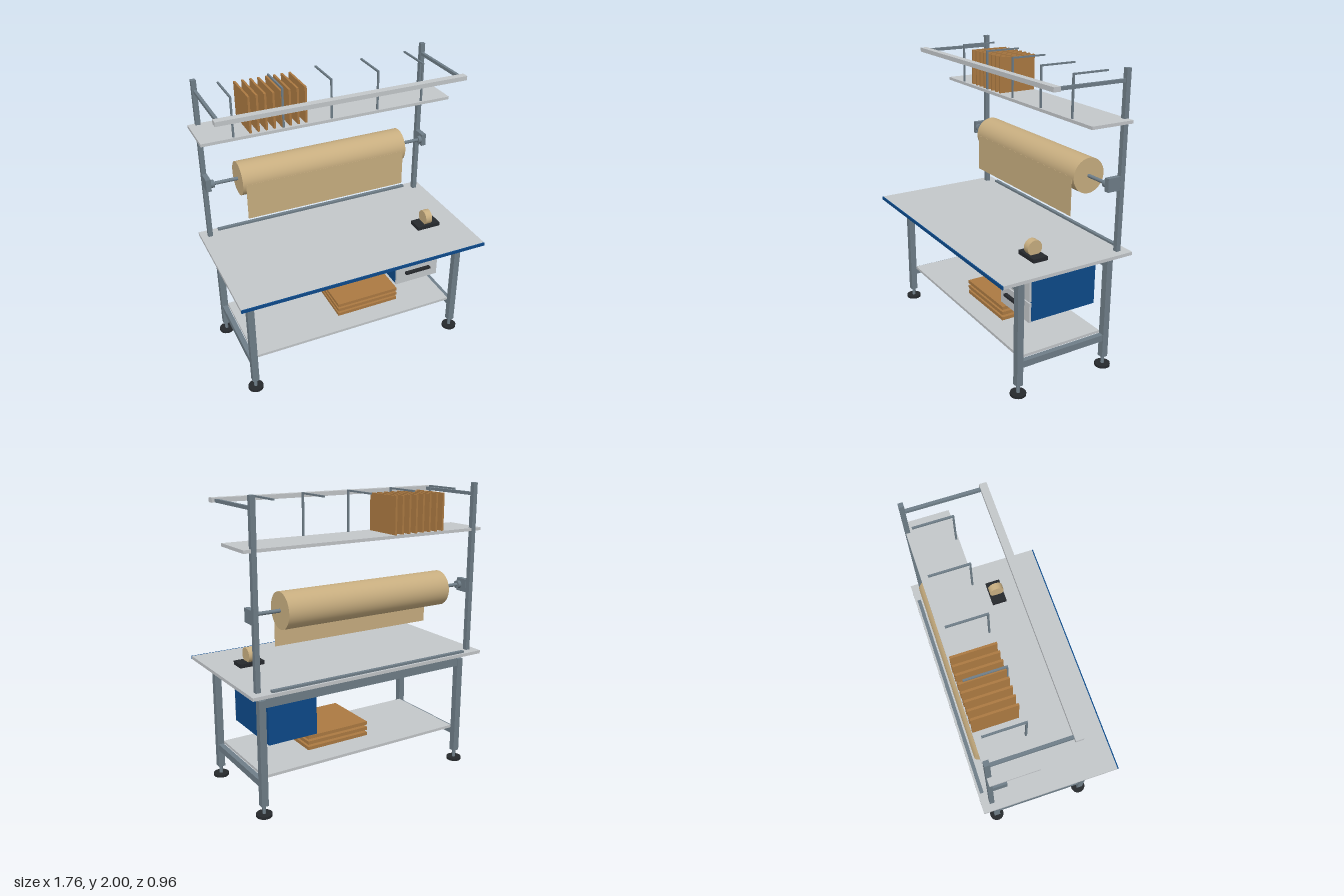
import * as THREE from 'three';

const mat = (name, color, side = THREE.FrontSide) => {
  const m = new THREE.MeshStandardMaterial({ color, side });
  m.name = name;
  return m;
};

export function createModel() {
  const steel = mat('steel grey', 0x6f7e88);
  const laminate = mat('light grey', 0xc3c7ca);
  const blue = mat('blue', 0x0d4a8a);
  const cardboard = mat('cardboard', 0xac7a42);
  const paper = mat('kraft paper', 0xc8ae80);
  const sheet = mat('kraft sheet', 0xc8ae80, THREE.DoubleSide);
  const black = mat('black', 0x26292d);

  const model = new THREE.Group();
  model.name = 'packingBench';

  const add = (name, geometry, material) => {
    const mesh = new THREE.Mesh(geometry, material);
    mesh.name = name;
    model.add(mesh);
    return mesh;
  };
  // Box given by its extents on each axis
  const box = (name, material, [x0, x1], [y0, y1], [z0, z1]) => {
    const mesh = add(name, new THREE.BoxGeometry(x1 - x0, y1 - y0, z1 - z0), material);
    mesh.position.set((x0 + x1) / 2, (y0 + y1) / 2, (z0 + z1) / 2);
    return mesh;
  };
  // Upright cylinder, or one lying along x
  const cyl = (name, material, r, length, [x, y, z], alongX = false, sides = 32) => {
    const mesh = add(name, new THREE.CylinderGeometry(r, r, length, sides), material);
    mesh.position.set(x, y, z);
    if (alongX) mesh.rotation.z = Math.PI / 2;
    return mesh;
  };
  const around = (c, half) => [c - half, c + half];

  // Worktop with blue front edge and rear rail
  box('worktop', laminate, [-0.88, 0.88], [0.822, 0.844], [-0.478, 0.47]);
  box('frontEdge', blue, [-0.88, 0.88], [0.822, 0.844], [0.47, 0.478]);
  box('rearRail', steel, [-0.745, 0.745], [0.844, 0.858], [-0.463, -0.438]);

  // Legs, levelling feet and long beams
  for (const z of [0.297, -0.371]) {
    for (const x of [-0.777, 0.777]) {
      box('leg', steel, around(x, 0.023), [0.072, 0.776], around(z, 0.022));
      cyl('footStem', steel, 0.012, 0.056, [x, 0.046, z], false, 16);
      cyl('footPad', black, 0.052, 0.018, [x, 0.009, z], false, 24);
    }
    box('beam', steel, [-0.755, 0.755], [0.725, 0.81], around(z, 0.016));
  }

  // Lower shelf on side rails
  for (const x of [-0.777, 0.777]) box('sideRail', steel, around(x, 0.018), [0.196, 0.241], [-0.349, 0.275]);
  box('lowerShelf', laminate, [-0.756, 0.756], [0.241, 0.26], [-0.347, 0.275]);

  // Stack of flat cartons
  for (let i = 0; i < 3; i++) {
    const y = 0.297 + i * 0.039;
    box('flatCarton', cardboard, [-0.09, 0.377], [y, y + 0.023], [-0.24, 0.17]);
  }

  // Drawer unit
  box('drawerCabinet', blue, [0.363, 0.709], [0.446, 0.756], [-0.328, 0.16]);
  for (const y of [0.505, 0.65]) {
    box('drawerFront', laminate, [0.368, 0.704], around(y, 0.068), [0.16, 0.175]);
    box('drawerHandle', black, [0.437, 0.636], around(y + 0.018, 0.008), [0.175, 0.2]);
  }

  // Uprights, canopy arms and roll brackets
  for (const s of [-1, 1]) {
    box('upright', steel, around(s * 0.816, 0.016), [0.844, 2], [-0.422, -0.39]);
    box('canopyArm', steel, around(s * 0.814, 0.01), [1.916, 1.937], [-0.39, 0.09]);
    box('rollBracket', steel, around(s * 0.814, 0.017), [1.254, 1.342], [-0.39, -0.297]);
    cyl('axleCollar', steel, 0.027, 0.024, [s * 0.786, 1.298, -0.32], true);
  }
  box('canopyRail', laminate, [-0.843, 0.843], [1.915, 1.944], [0.085, 0.133]);

  // Upper shelf with bent-rod dividers
  box('upperShelf', laminate, [-0.88, 0.88], [1.68, 1.7], [-0.418, -0.115]);
  for (let i = -2; i <= 2; i++) {
    const x = i * 0.333;
    box('dividerPost', steel, around(x, 0.006), [1.7, 1.97], [-0.136, -0.125]);
    box('dividerArm', steel, around(x, 0.006), [1.959, 1.97], [-0.385, -0.136]);
  }

  // Standing cartons
  for (let i = 0; i < 8; i++) {
    box('standingCarton', cardboard, around(-0.551 + i * 0.0538, 0.007), [1.7, 1.945], [-0.414, -0.135]);
  }

  // Paper roll, axle and hanging sheet
  cyl('paperRoll', paper, 0.117, 1.216, [0, 1.298, -0.32], true, 64);
  cyl('rollAxle', steel, 0.012, 1.56, [0, 1.298, -0.32], true, 20);
  box('hangingSheet', sheet, [-0.587, 0.587], [1.04, 1.298], [-0.205, -0.202]);

  // Tape dispenser
  box('tapeBase', black, [0.538, 0.712], [0.844, 0.87], [0.05, 0.154]);
  cyl('tapeRoll', paper, 0.052, 0.048, [0.624, 0.911, 0.102], true, 40);

  return model;
}
